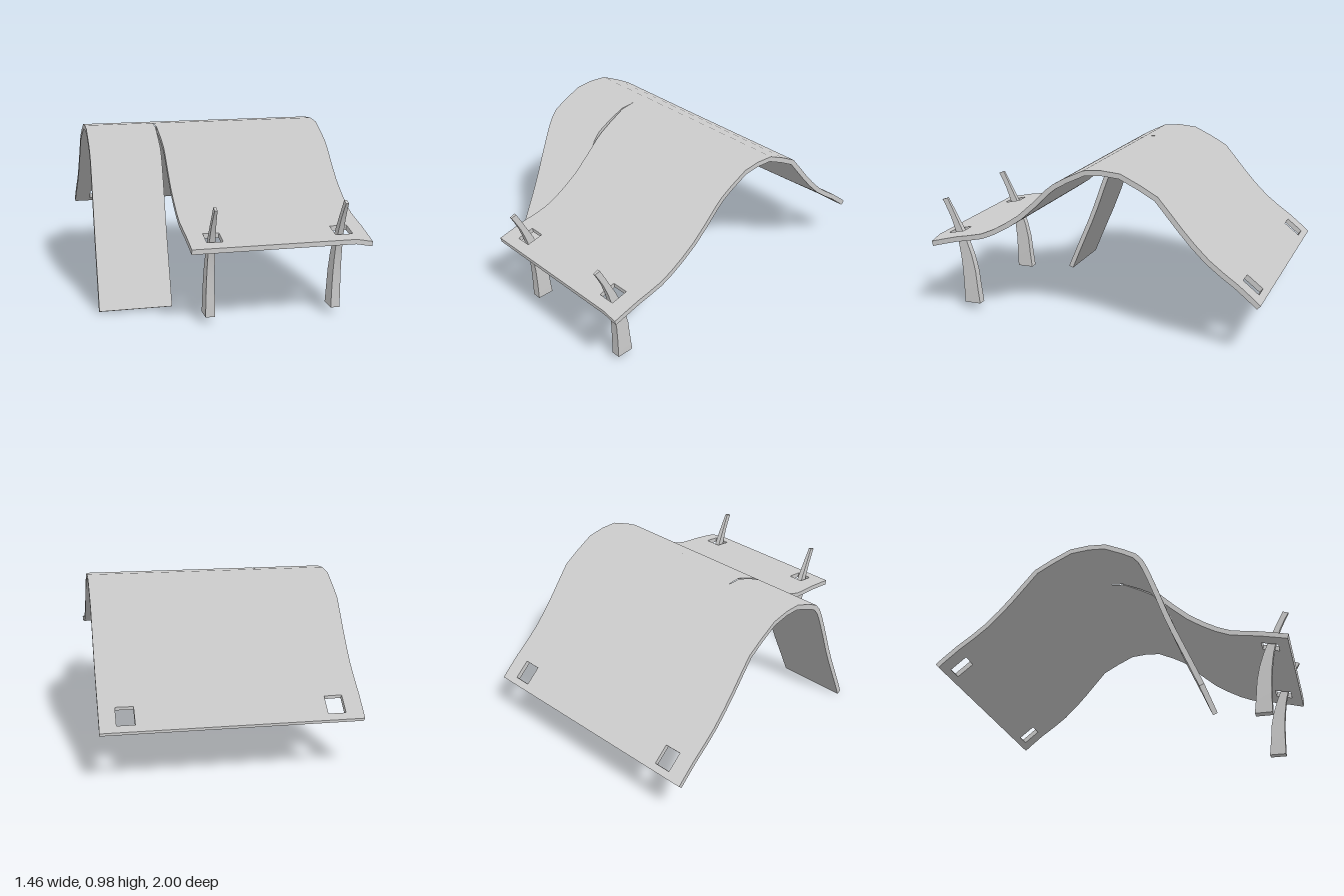
import * as THREE from 'three';
import { toCreasedNormals } from 'three/addons/utils/BufferGeometryUtils.js';

const material = new THREE.MeshStandardMaterial({ color: 0xcccccc });
const UP = [0, 1, 0], DOWN = [0, -1, 0];
// Neighbour step across each side of a cell, with the direction that side faces
const SIDES = [[-1, 0, [-1, 0, 0]], [0, 1, [0, 0, 1]], [1, 0, [1, 0, 0]], [0, -1, [0, 0, -1]]];

// Closed shell over a grid of cells. corner(i, j, top) gives a point; cell(i, j) is 'solid',
// 'gap' (left out, with a wall around it) or 'join' (left out, continued by another part).
function shell(cols, rows, corner, cell = () => 'solid') {
  const pos = [], nor = [];
  const quad = (n, a, b, c, d) => [a, b, c, a, c, d].forEach((p) => {
    pos.push(...p);
    nor.push(...n);
  });
  const at = (i, j) => (i >= 0 && j >= 0 && i < cols && j < rows ? cell(i, j) : 'gap');
  for (let i = 0; i < cols; i++) {
    for (let j = 0; j < rows; j++) {
      if (at(i, j) !== 'solid') continue;
      const ring = [[i, j], [i, j + 1], [i + 1, j + 1], [i + 1, j]];
      const top = ring.map(([a, b]) => corner(a, b, true));
      const low = ring.map(([a, b]) => corner(a, b, false));
      quad(UP, ...top);
      quad(DOWN, low[3], low[2], low[1], low[0]);
      SIDES.forEach(([di, dj, n], k) => {
        const m = (k + 1) % 4;
        if (at(i + di, j + dj) === 'gap') quad(n, top[k], low[k], low[m], top[m]);
      });
    }
  }
  const geo = new THREE.BufferGeometry();
  geo.setAttribute('position', new THREE.Float32BufferAttribute(pos, 3));
  geo.setAttribute('normal', new THREE.Float32BufferAttribute(nor, 3));
  return geo;
}

function named(name, geometry) {
  const mesh = new THREE.Mesh(geometry, material);
  mesh.name = name;
  return mesh;
}

// Bent sheet: xs across, path of [z, y] from back to front, warp(x, z) returns [dx, dy].
// It keeps the normals of the flat sheet, so each side is evenly shaded.
const HALF = 0.015;
function sheet(name, xs, path, warp, cell) {
  const corner = (i, j, top) => {
    const p = path[Math.max(j - 1, 0)], q = path[Math.min(j + 1, path.length - 1)];
    const dz = q[0] - p[0], dy = q[1] - p[1];
    const off = (top ? HALF : -HALF) / Math.hypot(dz, dy);
    const [z, y] = path[j];
    const [wx, wy] = warp(xs[i], z);
    return [xs[i] + wx, y + wy + dz * off, z - dy * off];
  };
  return named(name, shell(xs.length - 1, path.length - 1, corner, cell));
}

const SLIT_X = -0.3, SLIT_Z = -0.09;
const ridge = [[-0.2, 0.957], [SLIT_Z, 0.966], [0.01, 0.957], [0.12, 0.905], [0.19, 0.865]];

export function createModel() {
  const group = new THREE.Group();

  // Main sheet with four square holes and a cut-away front right strip
  const xs = [-0.72, -0.62, -0.52, SLIT_X, -0.19, -0.1, 0.2, 0.535, 0.635, 0.727];
  const path = [
    [-0.99, 0.305], [-0.96, 0.332], [-0.87, 0.405], [-0.78, 0.468], [-0.7, 0.53], [-0.62, 0.608],
    [-0.55, 0.685], [-0.48, 0.768], [-0.41, 0.85], [-0.31, 0.905],
    ...ridge,
    [0.23, 0.833], [0.32, 0.745], [0.41, 0.665], [0.5, 0.605], [0.58, 0.56], [0.66, 0.528],
    [0.75, 0.512], [0.83, 0.5], [0.93, 0.478], [0.995, 0.463],
  ];
  const slitRow = path.indexOf(ridge[1]);
  const bodyWarp = (x, z) => {
    const slit = x === SLIT_X ? Math.min(Math.max((z - SLIT_Z) * 0.06, 0), 0.015) : 0;
    const middle = Math.max(0, 1 - (x / 0.72) ** 2);
    const sag = -0.025 * middle * Math.max(0, 1 - ((z + 0.65) / 0.25) ** 2);
    const droop = x > 0.7 ? -0.018 * Math.max(0, (z - 0.6) / 0.4) : 0;
    return [slit, sag + droop];
  };
  const bodyCell = (i, j) => {
    if (i < 3 && j >= slitRow) return j === slitRow ? 'join' : 'gap';
    const z = (path[j][0] + path[j + 1][0]) / 2;
    const backHole = z > -0.96 && z < -0.87 && (i === 1 || i === 7);
    const frontHole = z > 0.83 && z < 0.93 && (i === 4 || i === 7);
    return backHole || frontHole ? 'gap' : 'solid';
  };
  group.add(sheet('mainSheet', xs, path, bodyWarp, bodyCell));

  // Hanging flap that continues the sheet from the slit and reaches the ground
  const flapPath = [
    ...ridge, [0.225, 0.822], [0.25, 0.77], [0.28, 0.695], [0.32, 0.588], [0.362, 0.47],
    [0.41, 0.35], [0.46, 0.235], [0.51, 0.12], [0.556, 0.01],
  ];
  const flapWarp = (x, z) => [-0.018 * (z - SLIT_Z), 0];
  const flapCell = (i, j) => (j === 0 ? 'join' : 'solid');
  group.add(sheet('flap', [-0.72, -0.62, -0.52, SLIT_X], flapPath, flapWarp, flapCell));

  // Curved tapering pegs through the front holes: [y, back z, front z, half width]
  const sections = [
    [0.045, 0.765, 0.867, 0.026], [0.15, 0.778, 0.869, 0.025], [0.25, 0.788, 0.873, 0.023],
    [0.34, 0.808, 0.882, 0.021], [0.42, 0.835, 0.895, 0.019], [0.5, 0.868, 0.916, 0.016],
    [0.58, 0.908, 0.945, 0.013], [0.64, 0.938, 0.975, 0.01], [0.687, 0.965, 0.998, 0.008],
  ];
  for (const [name, cx] of [['rightPeg', -0.155], ['leftPeg', 0.572]]) {
    const corner = (i, j, back) => {
      const [y, zb, zf, hw] = sections[j];
      // The tip is cut square to the forward lean
      const tilt = j === sections.length - 1 ? (back ? 0.006 : -0.006) : 0;
      return [cx + (i ? hw : -hw), y + tilt, back ? zb : zf];
    };
    group.add(named(name, toCreasedNormals(shell(1, sections.length - 1, corner), 0.6)));
  }
  return group;
}
